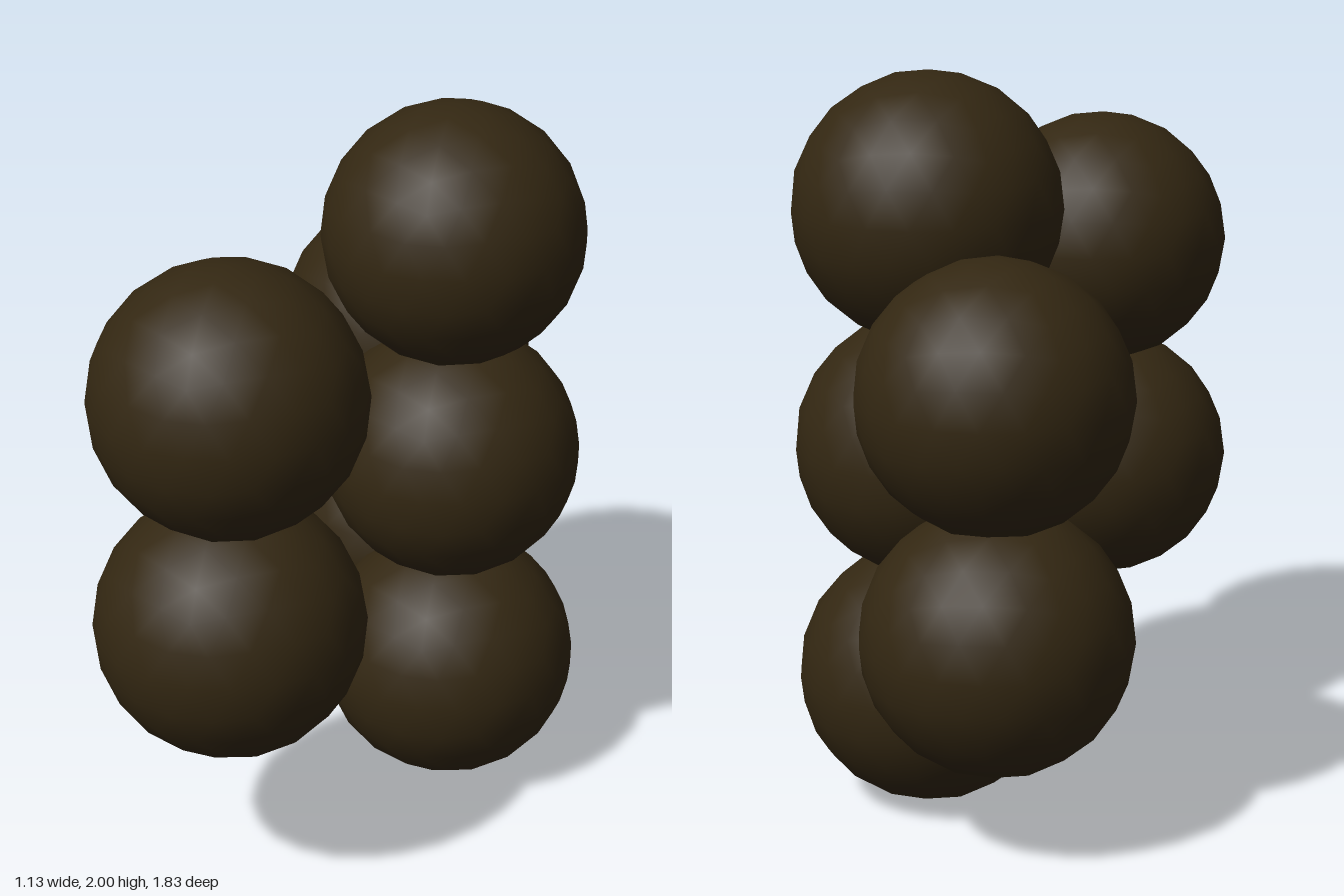
import * as THREE from 'three';

export function createModel() {
  const group = new THREE.Group();
  const darkBrown = new THREE.MeshStandardMaterial({ color: 0x332712 });
  darkBrown.name = 'darkBrown';

  // Smooth low-poly ball with a corner pointing straight up
  const ball = new THREE.IcosahedronGeometry(0.36, 3);
  ball.rotateX(-Math.atan((1 + Math.sqrt(5)) / 2));

  // Stacks of overlapping balls, centres listed from bottom to top
  const stacks = {
    middleStack: [[0.205, 0.36, -0.19], [0.205, 1.0, -0.19], [0.205, 1.64, -0.19]],
    backStack: [[-0.015, 0.58, -0.555], [-0.01, 1.22, -0.55]],
    frontStack: [[-0.21, 0.79, 0.553], [-0.2, 1.43, 0.557]],
  };

  for (const [name, centres] of Object.entries(stacks)) {
    const stack = new THREE.Group();
    stack.name = name;
    centres.forEach((centre, i) => {
      const mesh = new THREE.Mesh(ball, darkBrown);
      mesh.name = `${name}Ball${i + 1}`;
      mesh.position.set(...centre);
      stack.add(mesh);
    });
    group.add(stack);
  }
  return group;
}
